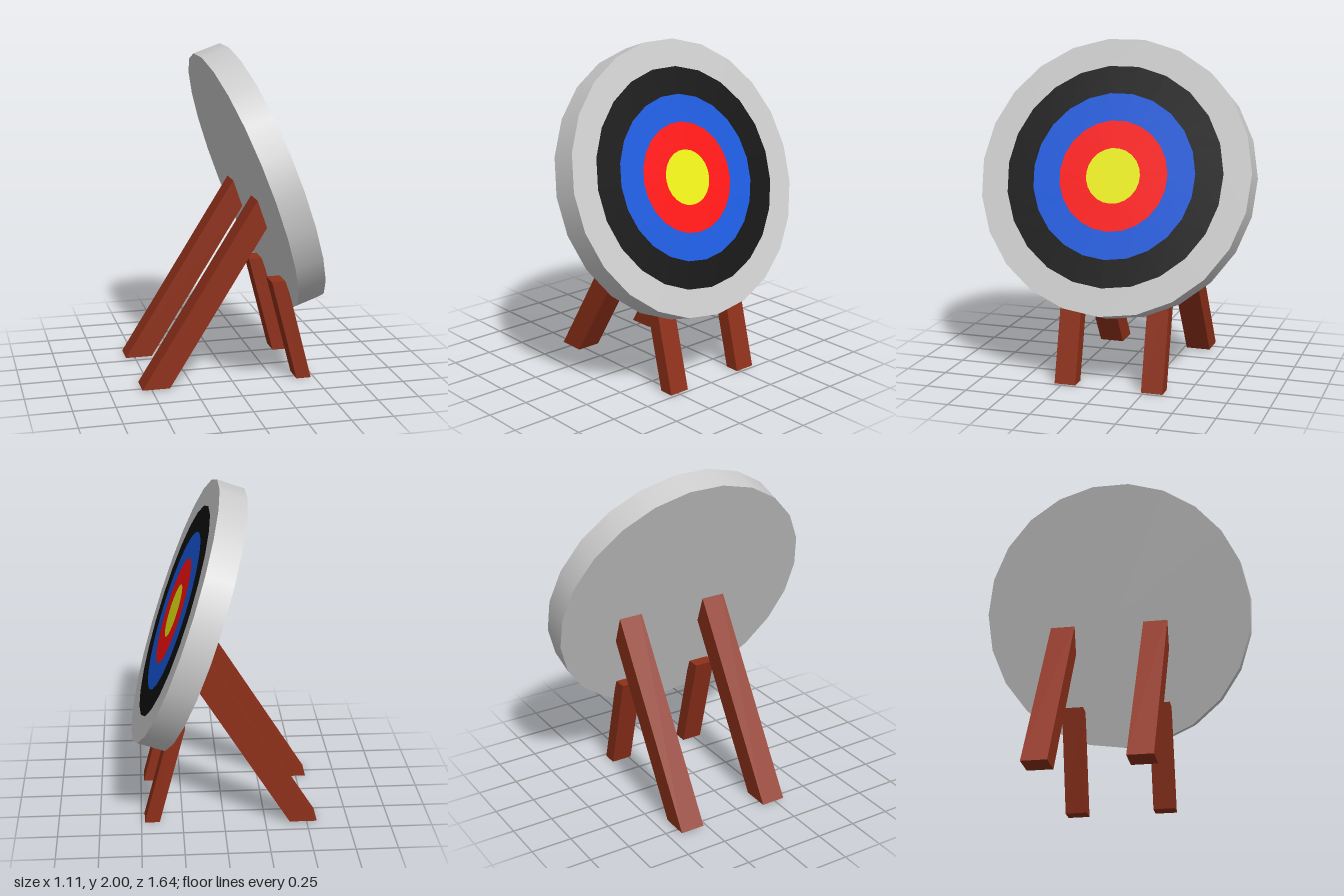
import * as THREE from 'three';

const SIDES = 23;
const RADIUS = 0.822;
const THICKNESS = 0.17;

const paint = (color) => new THREE.MeshStandardMaterial({ color });

function addMesh(parent, name, geometry, material) {
  const mesh = new THREE.Mesh(geometry, material);
  mesh.name = name;
  parent.add(mesh);
  return mesh;
}

// Straight leg: a side outline in x/y given a width along z
function legGeometry(outline, width) {
  const shape = new THREE.Shape(outline.map(([x, y]) => new THREE.Vector2(x, y)));
  return new THREE.ExtrudeGeometry(shape, { depth: width, bevelEnabled: false })
    .translate(0, 0, -width / 2);
}

export function createModel() {
  const model = new THREE.Group();
  model.name = 'archeryTarget';
  const grey = paint(0xcccccc);
  const wood = paint(0x8e3019);

  // Round board, its face along local +z, leaning back towards -x
  const board = new THREE.Group();
  board.name = 'board';
  board.rotation.set(0, Math.PI / 2, 0.337, 'ZYX');
  board.position.set(0.279, 1.231, 0);
  model.add(board);

  const rim = new THREE.CylinderGeometry(RADIUS, RADIUS, THICKNESS, SIDES, 1, true)
    .rotateX(Math.PI / 2).translate(0, 0, -THICKNESS / 2);
  addMesh(board, 'rim', rim, grey);

  const back = new THREE.CircleGeometry(RADIUS, SIDES, -Math.PI / 2)
    .rotateY(Math.PI).translate(0, 0, -THICKNESS);
  addMesh(board, 'backFace', back, grey);

  // Scoring rings, all flush in one plane
  const rings = [
    ['outerRing', grey],
    ['blackRing', paint(0x101010)],
    ['blueRing', paint(0x1759dc)],
    ['redRing', paint(0xff1010)],
    ['bullseye', paint(0xeef010)],
  ];
  const step = RADIUS / rings.length;
  rings.forEach(([name, material], i) => {
    const outer = RADIUS - i * step;
    const geometry = i < rings.length - 1
      ? new THREE.RingGeometry(outer - step, outer, SIDES, 1, -Math.PI / 2)
      : new THREE.CircleGeometry(outer, SIDES, -Math.PI / 2);
    addMesh(board, name, geometry, material);
  });

  // Long rear props and short front legs
  const rear = legGeometry([[-0.56, 0.01], [-0.395, 0.01], [0.25, 1.045], [0.19, 1.21]], 0.15);
  const front = legGeometry([[0.39, 0], [0.48, 0], [0.32, 0.62], [0.23, 0.62]], 0.13);
  addMesh(model, 'rearLegLeft', rear, wood).position.z = -0.35;
  addMesh(model, 'rearLegRight', rear, wood).position.z = 0.231;
  addMesh(model, 'frontLegLeft', front, wood).position.z = -0.3;
  addMesh(model, 'frontLegRight', front, wood).position.z = 0.235;

  return model;
}
